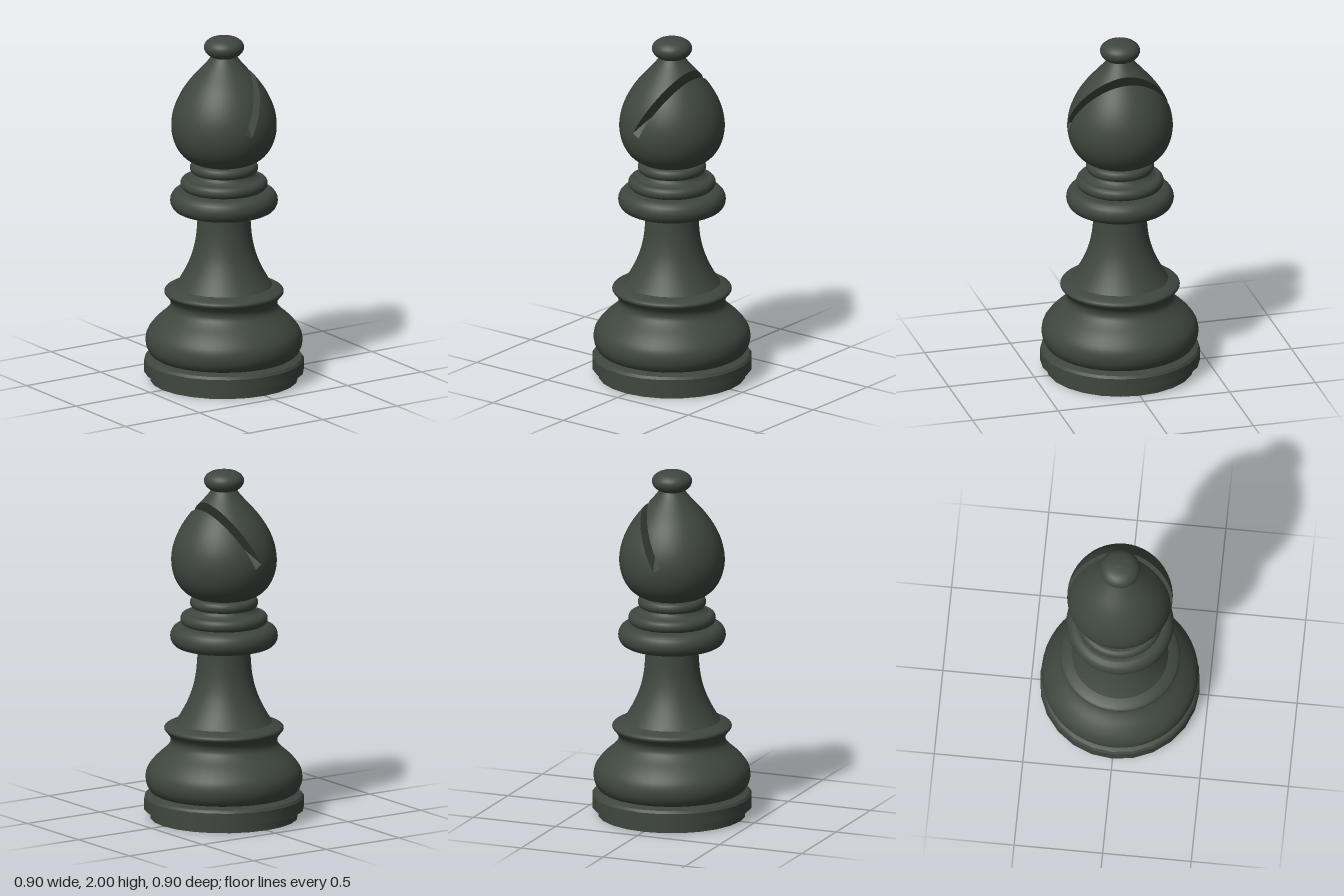
import * as THREE from 'three';
import { toCreasedNormals } from 'three/addons/utils/BufferGeometryUtils.js';

const V2 = (p) => new THREE.Vector2(p[0], p[1]);

// smooth profile through [radius, height] points, from bottom to top
const smooth = (pts, n) => new THREE.SplineCurve(pts.map(V2)).getPoints(n);

// the head's slot: direction along the cut, its normal, and its two walls
const DIR = [0.475, 0.88], NOR = [0.88, -0.475];
const WALLS = [-0.759, -0.712];
const SLOT_END = 1.297, SLOT_MID = 1.418;
const along = (v) => v[0] * DIR[0] + v[1] * DIR[1];
const across = (v) => v[0] * NOR[0] + v[1] * NOR[1];

// keep the part of each triangle where f >= 0
function clip(tris, f) {
  const out = [];
  for (const tri of tris) {
    const poly = [];
    tri.forEach((a, i) => {
      const b = tri[(i + 1) % 3], fa = f(a), fb = f(b);
      if (fa >= 0) poly.push(a);
      if ((fa >= 0) !== (fb >= 0)) {
        const t = fa / (fa - fb);
        poly.push(a.map((v, k) => v + (b[k] - v) * t));
      }
    });
    for (let i = 2; i < poly.length; i++) out.push([poly[0], poly[i - 1], poly[i]]);
  }
  return out;
}

// head surface with the slot opening removed
function headShell(profile) {
  const g = new THREE.LatheGeometry(profile, 48).toNonIndexed();
  const p = g.attributes.position, n = g.attributes.normal, tris = [];
  const vert = (i) => [p.getX(i), p.getY(i), p.getZ(i), n.getX(i), n.getY(i), n.getZ(i)];
  for (let i = 0; i < p.count; i += 3) tris.push([vert(i), vert(i + 1), vert(i + 2)]);
  const band = clip(clip(tris, (v) => across(v) - WALLS[0]), (v) => WALLS[1] - across(v));
  const kept = [
    ...clip(tris, (v) => WALLS[0] - across(v)),
    ...clip(tris, (v) => across(v) - WALLS[1]),
    ...clip(band, (v) => SLOT_END - along(v)),
  ].flat();
  const out = new THREE.BufferGeometry();
  out.setAttribute('position', new THREE.Float32BufferAttribute(kept.flatMap((v) => v.slice(0, 3)), 3));
  out.setAttribute('normal', new THREE.Float32BufferAttribute(kept.flatMap((v) => v.slice(3)), 3));
  return out;
}

// walls and arched floor inside the slot
function slotInside(profile) {
  const radius = (y) => {
    let i = 1;
    while (i < profile.length - 1 && profile[i].y < y) i++;
    const a = profile[i - 1], b = profile[i];
    return a.x + (b.x - a.x) * (y - a.y) / (b.y - a.y);
  };
  const at = (s, c, z) => [s * DIR[0] + c * NOR[0], s * DIR[1] + c * NOR[1], z];
  const N = 48, pos = [];
  const rows = WALLS.map((c) => {
    const e = at(SLOT_END, c, 0);
    const zMax = Math.sqrt(radius(e[1]) ** 2 - e[0] ** 2);
    return Array.from({ length: N + 1 }, (_, i) => {
      const k = Math.sin((i / N - 0.5) * Math.PI), z = k * zMax;
      const floor = SLOT_MID - (SLOT_MID - SLOT_END) * k * k;
      let lo = floor, hi = 1.75;
      for (let j = 0; j < 30; j++) {
        const m = (lo + hi) / 2, q = at(m, c, z);
        if (Math.hypot(q[0], z) < radius(q[1])) lo = m; else hi = m;
      }
      return { floor: at(floor, c, z), top: at(lo, c, z) };
    });
  });
  const quad = (a, b, c, d) => pos.push(...a, ...b, ...c, ...a, ...c, ...d);
  const [L, R] = rows;
  for (let i = 0; i < N; i++) {
    quad(L[i + 1].floor, L[i].floor, L[i].top, L[i + 1].top);
    quad(R[i].floor, R[i + 1].floor, R[i + 1].top, R[i].top);
    quad(L[i].floor, L[i + 1].floor, R[i + 1].floor, R[i].floor);
  }
  const g = new THREE.BufferGeometry();
  g.setAttribute('position', new THREE.Float32BufferAttribute(pos, 3));
  g.computeVertexNormals();
  return g;
}

export function createModel() {
  const model = new THREE.Group();
  model.name = 'bishop';
  const material = new THREE.MeshStandardMaterial({ color: 0x3f463f, side: THREE.DoubleSide });
  material.name = 'dark green grey';

  const add = (name, geometry) => {
    const mesh = new THREE.Mesh(geometry, material);
    mesh.name = name;
    model.add(mesh);
  };
  const turned = (name, pts, n = 28) => add(name, new THREE.LatheGeometry(smooth(pts, n), 48));
  const faceted = (name, pts) =>
    add(name, toCreasedNormals(new THREE.LatheGeometry(pts.map(V2), 24), 0.5));
  // rounded ring lying between two heights
  const ring = (name, r, inner, y0, y1) => {
    const h = (y1 - y0) / 2, m = (y0 + y1) / 2, pts = [[inner, y0]];
    for (let i = 0; i <= 10; i++) {
      const a = (i / 10 - 0.5) * Math.PI;
      pts.push([r - h * 0.9 + Math.cos(a) * h * 0.9, m + Math.sin(a) * h]);
    }
    pts.push([inner, y1]);
    add(name, new THREE.LatheGeometry(pts.map(V2), 48));
  };

  // base
  faceted('foot', [[0, 0], [0.415, 0], [0.415, 0.055]]);
  faceted('plinth', [[0.4, 0.052], [0.45, 0.052], [0.45, 0.12], [0.44, 0.135], [0.4, 0.15], [0.36, 0.15]]);
  turned('body', [[0.39, 0.145], [0.415, 0.16], [0.435, 0.195], [0.441, 0.24], [0.428, 0.29],
    [0.385, 0.345], [0.33, 0.395], [0.303, 0.43], [0.303, 0.465], [0.325, 0.497]], 36);
  turned('bodyRim', [[0.325, 0.497], [0.336, 0.512], [0.33, 0.528], [0.3, 0.543], [0.27, 0.553]], 14);
  turned('stem', [[0.272, 0.552], [0.245, 0.595], [0.21, 0.66], [0.18, 0.735], [0.16, 0.82],
    [0.151, 0.91], [0.148, 1.0]]);

  // collar
  ring('lowerCollar', 0.303, 0.1, 0.985, 1.11);
  ring('middleCollar', 0.246, 0.1, 1.112, 1.18);
  turned('collarNeck', [[0.225, 1.17], [0.185, 1.19], [0.17, 1.21], [0.165, 1.24]], 10);
  ring('upperCollar', 0.192, 0.1, 1.208, 1.27);

  // slotted head
  const head = smooth([[0.12, 1.262], [0.175, 1.275], [0.225, 1.306], [0.264, 1.355], [0.288, 1.415],
    [0.297, 1.48], [0.29, 1.55], [0.27, 1.615], [0.238, 1.68], [0.193, 1.745], [0.14, 1.805],
    [0.095, 1.855], [0.07, 1.89], [0.06, 1.91]], 52);
  add('head', headShell(head));
  add('headSlot', slotInside(head));

  // finial
  turned('finial', [[0, 1.878], [0.06, 1.882], [0.098, 1.905], [0.113, 1.938], [0.102, 1.968],
    [0.065, 1.992], [0, 2]], 24);
  return model;
}
